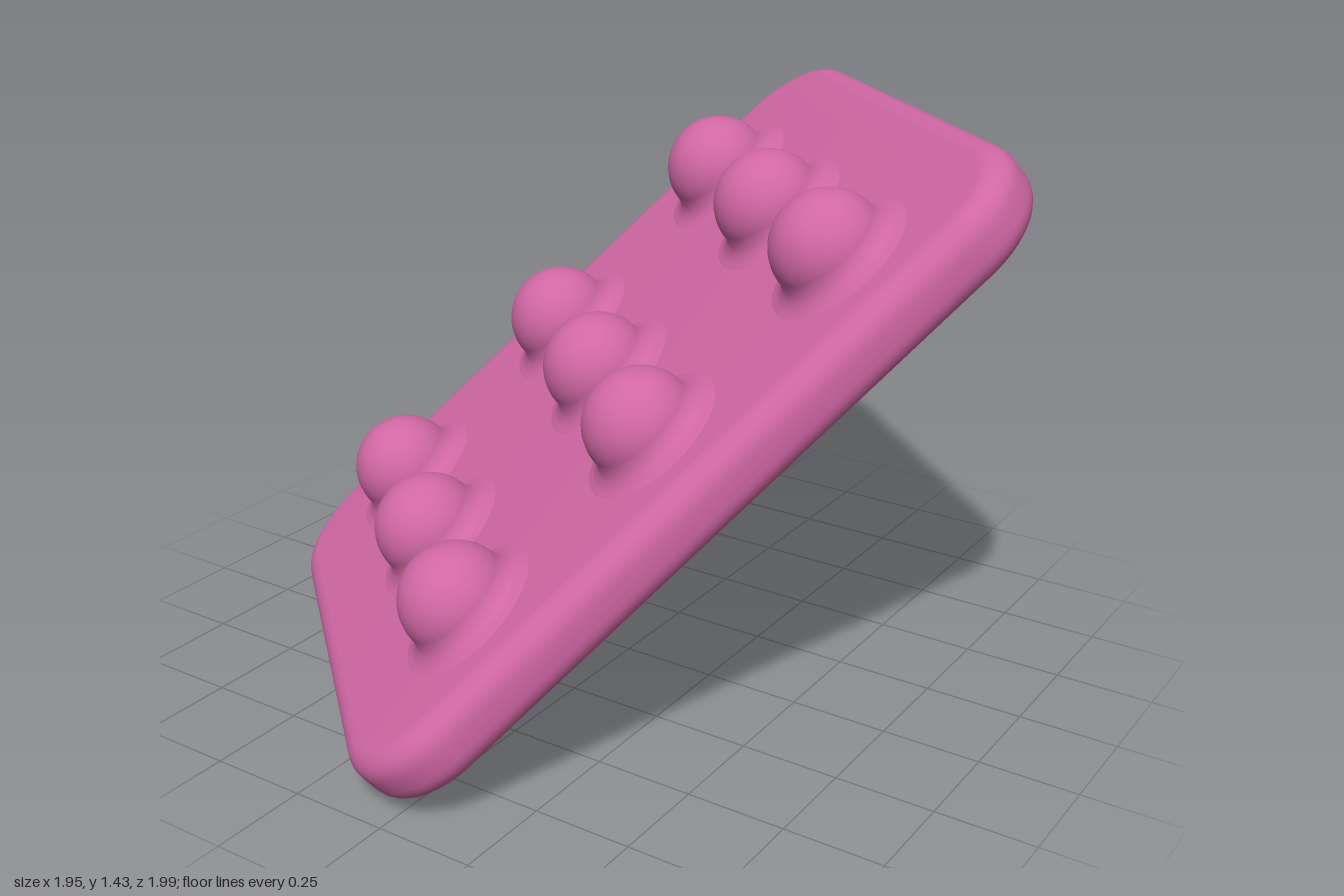
import * as THREE from 'three';
import { toCreasedNormals } from 'three/addons/utils/BufferGeometryUtils.js';

const HALF_W = 0.725, HALF_L = 1.015, HALF_T = 0.082, CORNER = 0.23, EDGE = 0.06;

// Rounded rectangle outline, inset by the bevel size
function outline() {
  const w = HALF_W - EDGE, l = HALF_L - EDGE, r = CORNER - EDGE;
  const s = new THREE.Shape();
  s.absarc(w - r, -l + r, r, -Math.PI / 2, 0);
  s.absarc(w - r, l - r, r, 0, Math.PI / 2);
  s.absarc(-w + r, l - r, r, Math.PI / 2, Math.PI);
  s.absarc(-w + r, -l + r, r, Math.PI, Math.PI * 1.5);
  s.closePath();
  return s;
}

// Dome profile: flared foot, slight neck, round cap (measured from the plate's mid-plane)
function domeGeometry() {
  const R = 0.137, centre = 0.12;
  const pts = [[0.21, HALF_T - 0.006], [0.175, HALF_T + 0.004], [0.15, HALF_T + 0.014]]
    .map(p => new THREE.Vector2(...p));
  for (let i = 0; i <= 14; i++) {
    const t = (i / 14) * Math.PI / 2;
    pts.push(new THREE.Vector2(R * Math.cos(t), centre + R * Math.sin(t)));
  }
  pts[pts.length - 1].x = 0;
  const g = new THREE.LatheGeometry(pts, 36);
  g.rotateX(Math.PI / 2);
  return g;
}

export function createModel() {
  const model = new THREE.Group();
  model.name = 'studdedBlock';
  const material = new THREE.MeshStandardMaterial({ color: 0xd067a4 });

  // Tilted frame: u runs across, v along the length, n out of the studded face
  const u = new THREE.Vector3(0.743, 0.015, 0.669).normalize();
  const v = new THREE.Vector3(0.502, 0.662, -0.557);
  v.addScaledVector(u, -v.dot(u)).normalize();
  const n = new THREE.Vector3().crossVectors(u, v);
  const tilted = new THREE.Group();
  tilted.name = 'tiltedBlock';
  tilted.quaternion.setFromRotationMatrix(new THREE.Matrix4().makeBasis(u, v, n));
  tilted.position.y = 0.711;
  model.add(tilted);

  // Slab with softly rounded edges
  const depth = 2 * (HALF_T - EDGE);
  const slab = new THREE.ExtrudeGeometry(outline(), {
    depth, bevelEnabled: true, bevelThickness: EDGE, bevelSize: EDGE,
    bevelSegments: 6, curveSegments: 12,
  });
  slab.translate(0, 0, -depth / 2);
  const plate = new THREE.Mesh(toCreasedNormals(slab, 0.6), material);
  plate.name = 'plate';
  tilted.add(plate);

  // Three by three grid of domes
  const dome = domeGeometry();
  for (let row = -1; row <= 1; row++) {
    for (let col = -1; col <= 1; col++) {
      const stud = new THREE.Mesh(dome, material);
      stud.name = 'dome';
      stud.position.set(col * 0.425, row * 0.585, 0);
      tilted.add(stud);
    }
  }
  return model;
}
